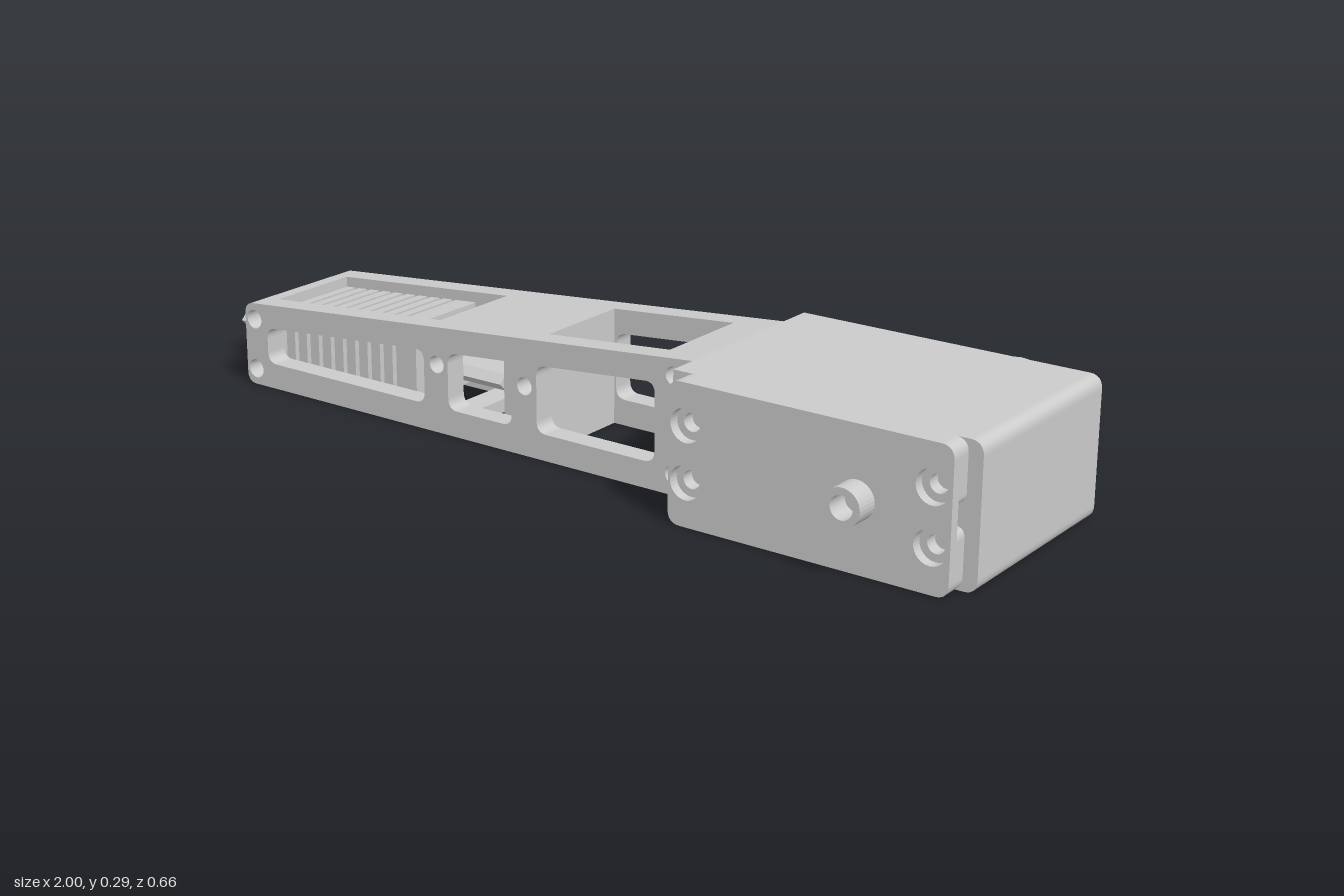
import * as THREE from 'three';

const material = new THREE.MeshStandardMaterial({ color: 0xcccccc });

// Polygon with corners rounded by radius r (one number or one per corner)
function rounded(points, r, Type = THREE.Shape) {
  const s = new Type();
  points.forEach((p, i) => {
    const n = points.length;
    const v = new THREE.Vector2(...p);
    const a = new THREE.Vector2(...points[(i + n - 1) % n]);
    const b = new THREE.Vector2(...points[(i + 1) % n]);
    const rad = Array.isArray(r) ? r[i] : r;
    const p0 = a.sub(v).setLength(rad).add(v);
    const p1 = b.sub(v).setLength(rad).add(v);
    if (i === 0) s.moveTo(p0.x, p0.y); else s.lineTo(p0.x, p0.y);
    if (rad > 0) s.quadraticCurveTo(v.x, v.y, p1.x, p1.y);
  });
  s.closePath();
  return s;
}
const rect = (x0, x1, y0, y1) => [[x0, y0], [x1, y0], [x1, y1], [x0, y1]];
const circle = (x, y, r, Type = THREE.Path) => new Type().absarc(x, y, r, 0, Math.PI * 2, false);

export function createModel() {
  const model = new THREE.Group();
  const add = (name, geometry) => {
    const mesh = new THREE.Mesh(geometry, material);
    mesh.name = name;
    model.add(mesh);
    return mesh;
  };
  // Extrude a front-facing outline between two z positions
  const slab = (name, shape, z0, z1, holes = []) => {
    shape.holes.push(...holes);
    const g = new THREE.ExtrudeGeometry(shape, { depth: z1 - z0, bevelEnabled: false, curveSegments: 16 });
    return add(name, g.translate(0, 0, z0));
  };
  const box = (name, x0, x1, y0, y1, z0, z1) => add(name,
    new THREE.BoxGeometry(x1 - x0, y1 - y0, z1 - z0).translate((x0 + x1) / 2, (y0 + y1) / 2, (z0 + z1) / 2));
  const disc = (name, x, y, r, z0, z1, holes = []) => slab(name, circle(x, y, r, THREE.Shape), z0, z1, holes);

  // Tapered arm: top edge rises towards the housing
  const top = x => 0.185 + (x + 0.87) * 0.0845;
  const taper = (x0, x1, y0, d) => [[x0, y0], [x1, y0], [x1, top(x1) - d], [x0, top(x0) - d]];

  // Side walls with windows and pin holes
  for (const side of [1, -1]) {
    const windows = [[-0.81, -0.355], [-0.29, -0.12], [-0.055, 0.24]].map(
      ([a, b]) => rounded(taper(a, b, 0.057, 0.053), 0.025, THREE.Path));
    const pins = [[-0.848, 0.15, 0.021], [-0.848, 0.036, 0.021], [-0.32, 0.15, 0.019],
      [-0.086, 0.15, 0.019], [0.285, 0.247, 0.019], [0.285, 0.043, 0.019]].map(p => circle(...p));
    const z = side * 0.135;
    slab('armSideWall', rounded(taper(-0.875, 0.34, 0, 0), [0.025, 0, 0, 0.025]),
      z - 0.025, z + 0.025, [...windows, ...pins]);
  }
  // Cross members between the side walls
  slab('armEndWall', rounded(taper(-0.875, -0.82, 0, 0), [0.025, 0, 0, 0.025]), -0.11, 0.11,
    [circle(-0.848, 0.15, 0.021), circle(-0.848, 0.036, 0.021)]);
  slab('armTopPanel', rounded([[-0.35, top(-0.35) - 0.03], [-0.06, top(-0.06) - 0.03],
    [-0.06, top(-0.06)], [-0.35, top(-0.35)]], 0), -0.11, 0.11);
  box('armBottomPanel', -0.35, -0.29, 0, 0.03, -0.11, 0.11);
  box('armBottomPanel', -0.21, -0.06, 0, 0.03, -0.11, 0.11);
  for (const z of [-0.085, 0.085]) box('armBottomRail', -0.29, -0.21, 0, 0.03, z - 0.025, z + 0.025);
  slab('armBulkhead', rounded(taper(-0.18, -0.06, 0.01, 0.01), 0), -0.11, 0.11);
  slab('armRootBlock', rounded(taper(0.24, 0.34, 0, 0), 0), -0.11, 0.11);

  // Flat-sided rod running through the arm tip
  const rodShape = rounded([[-0.05, 0.092], [-0.032, 0.074], [0.032, 0.074],
    [0.05, 0.092], [0.032, 0.11], [-0.032, 0.11]], 0);
  add('rod', new THREE.ExtrudeGeometry(rodShape, { depth: 0.76, bevelEnabled: false })
    .rotateY(Math.PI / 2).translate(-1, 0, 0));

  // Stack of ribs around the rod
  for (let i = 0; i < 10; i++) {
    const x = -0.81 + i * 0.036;
    slab('rib', rounded(taper(x, x + 0.025, 0.025, 0.02), 0), -0.1, 0.1);
  }
  slab('ribEndBlock', rounded(taper(-0.465, -0.43, 0.025, 0.02), 0), -0.1, 0.1);

  // Housing, open at the back
  slab('housingShell', rounded(rect(0.335, 1, 0, 0.29), [0, 0.028, 0.028, 0]), -0.225, 0.2,
    [rounded(rect(0.362, 0.975, 0.025, 0.265), 0.006, THREE.Path)]);
  slab('housingFrontWall', rounded(rect(0.335, 1, 0, 0.29), [0, 0.028, 0.028, 0]), 0.2, 0.232);

  // Front cover on two spacer rails, with a channel between them
  const screws = [0.4, 0.93].flatMap(x => [0.09, 0.205].map(y => [x, y]));
  slab('coverPlate', rounded(rect(0.36, 0.97, 0, 0.29), 0.028), 0.26, 0.282,
    screws.map(([x, y]) => circle(x, y, 0.035)));
  slab('coverLowerRail', rounded(rect(0.36, 0.97, 0, 0.122), [0.028, 0.028, 0.02, 0.02]), 0.232, 0.26,
    screws.filter(s => s[1] < 0.1).map(([x, y]) => circle(x, y, 0.019)));
  slab('coverUpperRail', rounded(rect(0.36, 0.97, 0.168, 0.29), [0.02, 0.02, 0.028, 0.028]), 0.232, 0.26,
    screws.filter(s => s[1] > 0.1).map(([x, y]) => circle(x, y, 0.019)));
  disc('coverBoss', 0.775, 0.145, 0.039, 0.28, 0.333, [circle(0.775, 0.145, 0.024)]);

  // Servo inside the housing
  box('servoBody', 0.41, 0.95, 0.04, 0.25, -0.13, 0.2);
  slab('servoFlange', rounded(rect(0.365, 0.972, 0.05, 0.24), 0.01), -0.1, -0.07);
  slab('servoCap', rounded(rect(0.43, 0.94, 0.05, 0.24), 0.03), -0.16, -0.13);
  slab('servoRaisedPad', rounded(rect(0.46, 0.6, 0.07, 0.22), 0.02), -0.185, -0.16);
  disc('servoGearCover', 0.775, 0.145, 0.095, -0.185, -0.16);
  disc('servoCollar', 0.775, 0.145, 0.065, -0.215, -0.185);

  // Splined output shaft
  const spline = new THREE.Shape();
  for (let i = 0; i < 48; i++) {
    const a = i * Math.PI / 24, r = i % 2 ? 0.029 : 0.033;
    spline[i ? 'lineTo' : 'moveTo'](0.775 + r * Math.cos(a), 0.145 + r * Math.sin(a));
  }
  slab('splinedShaft', spline, -0.27, -0.21);

  // Output horn with a hub and four mounting holes
  const hornHoles = [0, 1, 2, 3].map(i => {
    const a = i * Math.PI / 2 + Math.PI / 4;
    return circle(0.775 + 0.072 * Math.cos(a), 0.145 + 0.072 * Math.sin(a), 0.015);
  });
  disc('hornHub', 0.775, 0.143, 0.05, -0.312, -0.283, [circle(0.775, 0.143, 0.018)]);
  disc('hornDisc', 0.775, 0.143, 0.11, -0.332, -0.312, [circle(0.775, 0.143, 0.018), ...hornHoles]);

  return model;
}
